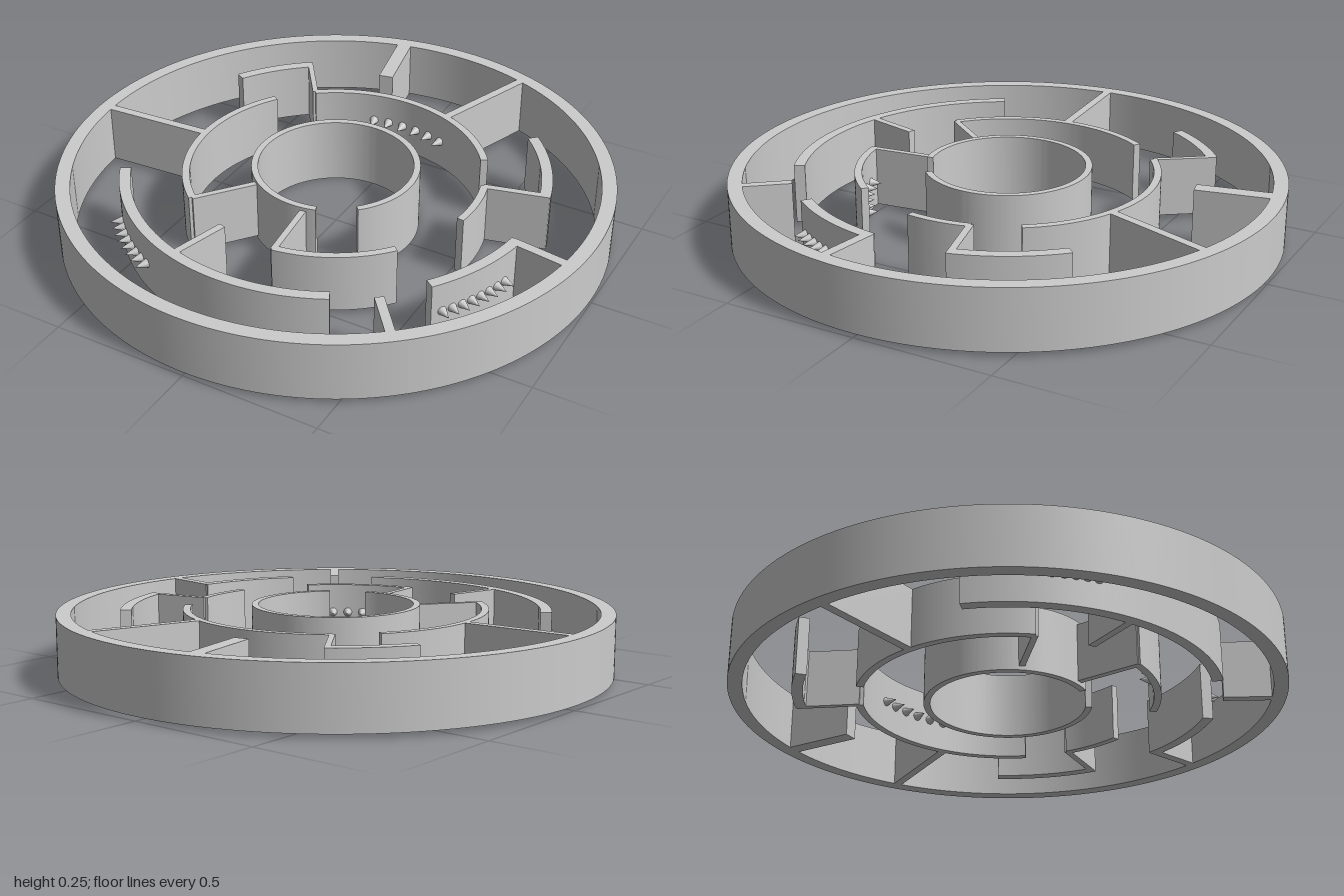
import * as THREE from 'three';
import { toCreasedNormals } from 'three/addons/utils/BufferGeometryUtils.js';

const material = new THREE.MeshStandardMaterial({ color: 0xcccccc });
const BOTTOM = 0.015, TOP = 0.235, MID = 0.125;
const rad = THREE.MathUtils.degToRad;

export function createModel() {
  const group = new THREE.Group();

  const add = (name, geometry) => {
    const mesh = new THREE.Mesh(geometry, material);
    mesh.name = name;
    group.add(mesh);
    return mesh;
  };

  // Extrude a plan shape (x, z) vertically between two heights
  const extrude = (shape, y0, y1, curveSegments) => {
    const g = new THREE.ExtrudeGeometry(shape, { depth: y1 - y0, bevelEnabled: false, curveSegments });
    g.rotateX(Math.PI / 2).translate(0, y1, 0);
    return toCreasedNormals(g, 0.5);
  };

  // Curved wall between two angles, measured from +x towards +z
  const arcWall = (name, rIn, rOut, from, to, y0 = BOTTOM, y1 = TOP) => {
    const shape = new THREE.Shape();
    shape.absarc(0, 0, rOut, rad(from), rad(to), false);
    shape.absarc(0, 0, rIn, rad(to), rad(from), true);
    shape.closePath();
    add(name, extrude(shape, y0, y1, Math.ceil((to - from) / 3)));
  };

  // Straight wall between two plan points
  const straightWall = (name, x0, z0, x1, z1, thickness) => {
    const length = Math.hypot(x1 - x0, z1 - z0);
    const mesh = add(name, new THREE.BoxGeometry(length, TOP - BOTTOM, thickness));
    mesh.position.set((x0 + x1) / 2, MID, (z0 + z1) / 2);
    mesh.rotation.y = -Math.atan2(z1 - z0, x1 - x0);
  };

  // Row of cones on a curved wall; the sign of height points them out or in
  const spikes = (name, radius, height, from, to, count) => {
    const row = new THREE.Group();
    row.name = name;
    for (let i = 0; i < count; i++) {
      const a = rad(from + (to - from) * i / (count - 1));
      const dir = new THREE.Vector3(Math.cos(a), 0, Math.sin(a));
      const cone = new THREE.Mesh(new THREE.ConeGeometry(0.018, Math.abs(height), 20), material);
      cone.name = 'spike';
      cone.position.copy(dir).multiplyScalar(radius + height / 2).setY(MID);
      cone.quaternion.setFromUnitVectors(new THREE.Vector3(0, 1, 0), dir.multiplyScalar(Math.sign(height)));
      row.add(cone);
    }
    group.add(row);
  };

  // Outer rim
  const rim = new THREE.Shape().absarc(0, 0, 1, 0, Math.PI * 2, false);
  rim.holes.push(new THREE.Path().absarc(0, 0, 0.947, 0, Math.PI * 2, true));
  add('outerRim', extrude(rim, BOTTOM, TOP, 128));

  // Central ring with a gap, slightly taller than the rest
  arcWall('centreRing', 0.28, 0.304, 74, 406, 0, 0.248);

  // Middle ring segments
  for (const [from, to] of [[232, 326], [129, 215], [-16, 8.5], [38.7, 83.5]])
    arcWall('middleArcWall', 0.525, 0.552, from, to);

  // Third ring segments
  for (const [from, to] of [[62, 150], [7, 37], [-44.5, -14.5], [210.5, 232.6]])
    arcWall('outerArcWall', 0.735, 0.775, from, to);

  // Straight partitions: start x, z, end x, z, thickness
  const partitions = [
    [-0.21, -0.955, -0.15, -0.665, 0.055],
    [0.335, -0.915, 0.195, -0.515, 0.032],
    [0.745, -0.203, 0.515, -0.145, 0.025],
    [0.735, 0.105, 0.95, 0.137, 0.035],
    [0.495, 0.595, 0.61, 0.735, 0.033],
    [-0.155, 0.51, -0.21, 0.715, 0.027],
    [-0.19, 0.23, -0.34, 0.42, 0.022],
    [0.037, 0.285, 0.067, 0.54, 0.023],
    [-0.95, 0.06, -0.54, 0.035, 0.032],
    [-0.467, -0.615, -0.332, -0.425, 0.02],
  ];
  for (const p of partitions) straightWall('partition', ...p);

  // Spike rows
  spikes('backSpikes', 0.528, -0.05, 257, 289.5, 6);
  spikes('innerFrontSpikes', 0.528, -0.045, 43, 75, 6);
  spikes('outerFrontSpikes', 0.77, 0.05, 116.5, 137, 8);
  spikes('sideSpikes', 0.77, 0.05, 14, 34, 8);

  return group;
}
